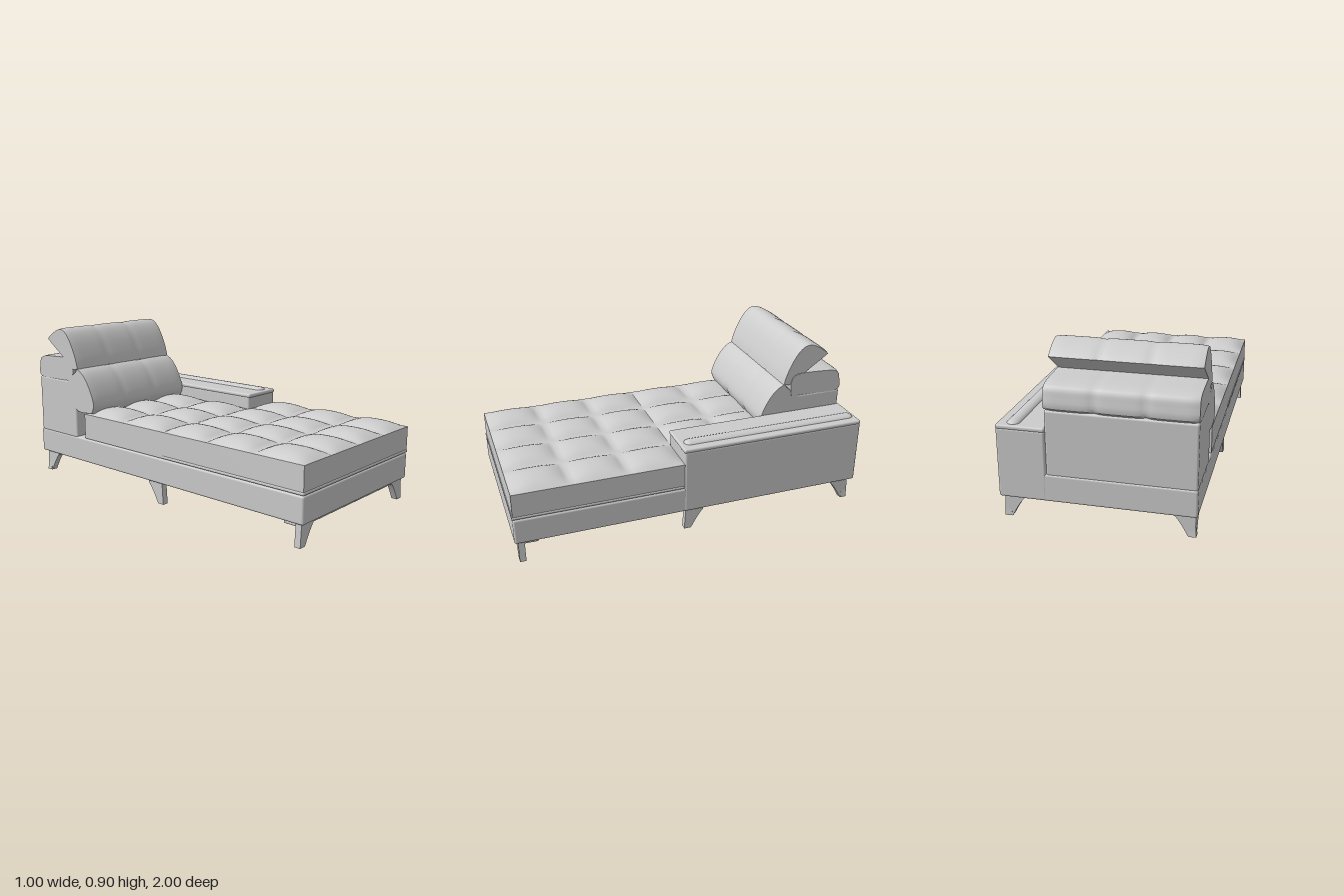
import * as THREE from 'three';
import { toCreasedNormals } from 'three/addons/utils/BufferGeometryUtils.js';
import { RoundedBoxGeometry } from 'three/addons/geometries/RoundedBoxGeometry.js';

const upholstery = new THREE.MeshStandardMaterial({ color: 0xcccccc });
upholstery.name = 'light grey';

function addMesh(parent, name, geometry) {
  const mesh = new THREE.Mesh(geometry, upholstery);
  mesh.name = name;
  parent.add(mesh);
  return mesh;
}

// Rounded box given by its limits on each axis
function addBox(parent, name, [x0, x1], [y0, y1], [z0, z1], r) {
  const g = new RoundedBoxGeometry(x1 - x0, y1 - y0, z1 - z0, 3, r);
  g.translate((x0 + x1) / 2, (y0 + y1) / 2, (z0 + z1) / 2);
  return addMesh(parent, name, g);
}

// Position inside a repeated cell, from -1 at one seam to 1 at the next
const cellCoord = (t, cells) => {
  const c = t * cells;
  return 2 * (c - Math.min(Math.floor(c + 1e-6), cells - 1)) - 1;
};
const puff = (u, power) => 1 - Math.min(1, Math.abs(u)) ** power;

// Seat block whose top swells between a grid of seams
function addTuftedSeat(parent, name, [x0, x1], [z0, z1], cols, rows) {
  const bottom = 0.268, edge = 0.415, swell = 0.037;
  const w = x1 - x0, d = z1 - z0, h = edge - bottom;
  const g = new THREE.BoxGeometry(w, h, d, cols * 12, 1, rows * 12);
  g.translate((x0 + x1) / 2, bottom + h / 2, (z0 + z1) / 2);
  const p = g.attributes.position;
  for (let i = 0; i < p.count; i++) {
    if (p.getY(i) < edge - 0.001) continue;
    const u = cellCoord((p.getX(i) - x0) / w, cols);
    const v = cellCoord((p.getZ(i) - z0) / d, rows);
    p.setY(i, edge + swell * puff(u, 2.6) * puff(v, 2.6));
  }
  g.computeVertexNormals();
  return addMesh(parent, name, g);
}

// Cushion with a (z, y) profile run along x, drawn in at each column seam
function addColumnCushion(parent, name, profile, [x0, x1], cols, pinch) {
  const pts = profile.map(([z, y]) => new THREE.Vector2(-z, y));
  const shape = new THREE.Shape();
  shape.moveTo(pts[0].x, pts[0].y);
  shape.splineThru([...pts.slice(1), pts[0].clone()]);
  const w = x1 - x0;
  let g = new THREE.ExtrudeGeometry(shape, {
    depth: w, steps: cols * 12, curveSegments: 4, bevelEnabled: false,
  });
  const cx = pts.reduce((s, p) => s + p.x, 0) / pts.length;
  const cy = pts.reduce((s, p) => s + p.y, 0) / pts.length;
  const p = g.attributes.position;
  for (let i = 0; i < p.count; i++) {
    const u = cellCoord(p.getZ(i) / w, cols);
    const s = 1 - pinch * (1 - puff(u, 5));
    p.setXY(i, cx + (p.getX(i) - cx) * s, cy + (p.getY(i) - cy) * s);
  }
  g.rotateY(Math.PI / 2);
  g.translate(x0, 0, 0);
  return addMesh(parent, name, toCreasedNormals(g, 0.6));
}

// Tapered leg fin, foot at the origin and widening along +x towards the top
function finGeometry() {
  const s = new THREE.Shape();
  s.moveTo(0, 0);
  s.lineTo(0.04, 0);
  s.quadraticCurveTo(0.085, 0.085, 0.11, 0.108);
  s.lineTo(0.11, 0.125);
  s.lineTo(0.008, 0.125);
  const g = new THREE.ExtrudeGeometry(s, { depth: 0.034, bevelEnabled: false, curveSegments: 8 });
  g.translate(0, 0, -0.017);
  return toCreasedNormals(g, 0.5);
}

export function createModel() {
  const model = new THREE.Group();
  model.name = 'chaise';

  // Base frame
  addBox(model, 'base', [-0.497, 0.497], [0.12, 0.265], [-0.997, 0.997], 0.012);

  // Seat: full width in front, narrower beside the arm
  addTuftedSeat(model, 'frontSeat', [-0.495, 0.495], [0.065, 0.995], 4, 3);
  addTuftedSeat(model, 'rearSeat', [-0.495, 0.25], [-0.575, 0.065], 3, 2);
  addBox(model, 'seatPiping', [-0.499, 0.499], [0.268, 0.284], [0.07, 0.999], 0.006);

  // Arm with a thin top pad and a rounded ridge
  addBox(model, 'arm', [0.25, 0.499], [0.121, 0.49], [-0.998, 0.066], 0.012);
  addBox(model, 'armPad', [0.25, 0.5], [0.482, 0.506], [-0.998, 0.07], 0.01);
  const ridge = new THREE.CapsuleGeometry(0.036, 0.96, 6, 16);
  ridge.rotateX(Math.PI / 2);
  ridge.scale(1, 0.65, 1);
  ridge.translate(0.42, 0.498, -0.468);
  addMesh(model, 'armRidge', ridge);

  // Back frame and its three-column cushions
  addBox(model, 'backFrame', [-0.495, 0.25], [0.255, 0.598], [-0.992, -0.65], 0.012);
  addColumnCushion(model, 'backBolster', [
    [-0.67, 0.597], [-0.662, 0.68], [-0.70, 0.733], [-0.84, 0.736], [-0.965, 0.722],
    [-0.993, 0.67], [-0.985, 0.597], [-0.83, 0.592],
  ], [-0.495, 0.253], 3, 0.05);
  addColumnCushion(model, 'backCushion', [
    [-0.505, 0.42], [-0.485, 0.48], [-0.522, 0.575], [-0.575, 0.648], [-0.63, 0.68],
    [-0.655, 0.655], [-0.73, 0.59], [-0.69, 0.51], [-0.645, 0.42],
  ], [-0.495, 0.25], 3, 0.05);
  addColumnCushion(model, 'headrest', [
    [-0.62, 0.672], [-0.638, 0.735], [-0.68, 0.825], [-0.727, 0.885], [-0.775, 0.905],
    [-0.83, 0.888], [-0.897, 0.842], [-0.885, 0.822], [-0.77, 0.742], [-0.67, 0.668],
  ], [-0.495, 0.25], 3, 0.05);

  // Legs: front, middle and back pairs, with mounting flanges
  const fin = finGeometry();
  const addFin = (name, x, z, turn) => {
    const mesh = addMesh(model, name, fin);
    mesh.position.set(x, 0, z);
    mesh.rotation.y = turn;
  };
  for (const side of [-1, 1]) {
    const inward = side > 0 ? Math.PI : 0;
    const span = (a, b) => (side > 0 ? [a, b] : [-b, -a]);
    addFin('frontLeg', side * 0.487, 0.961, inward);
    addBox(model, 'frontLegFlange', span(0.44, 0.475), [0.1, 0.122], [0.87, 0.97], 0.004);
    addFin('middleLeg', side * 0.467, 0.062, Math.PI / 2);
    addBox(model, 'middleLegFlange', span(0.35, 0.475), [0.104, 0.122], [0.01, 0.045], 0.004);
    addFin('backLeg', side * 0.467, -0.966, -Math.PI / 2);
    addFin('backLegSide', side * 0.487, -0.947, inward);
  }
  // Slim rail between the front legs
  addBox(model, 'frontRail', [-0.39, 0.39], [0.103, 0.122], [0.945, 0.975], 0.004);

  return model;
}
